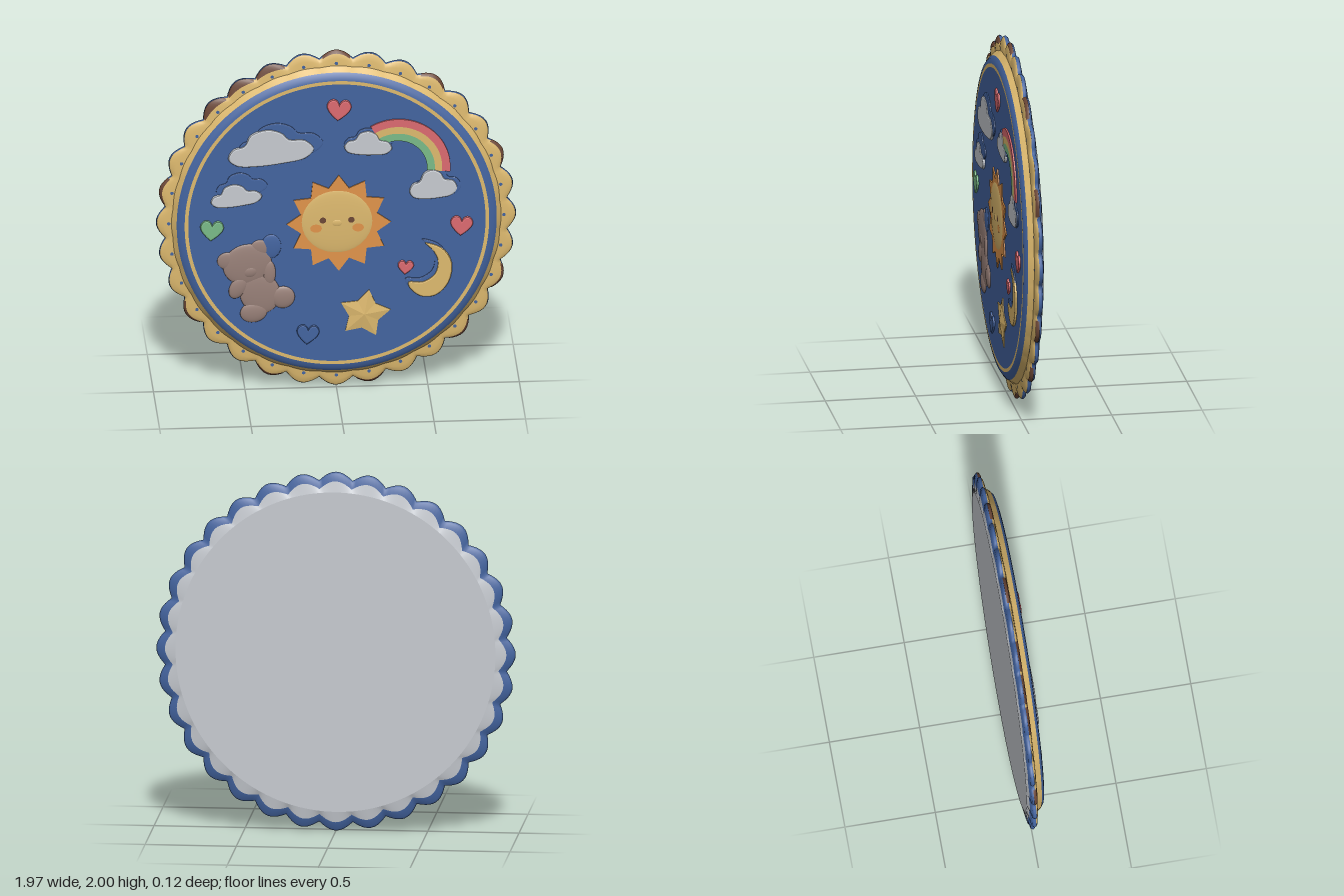
import * as THREE from 'three';

const mat = (name, color) => Object.assign(new THREE.MeshStandardMaterial({ color }), { name });
const blue = mat('blue', 0x4364a0), gold = mat('gold', 0xddb96e), orange = mat('orange', 0xe0944a),
  red = mat('coral red', 0xdc6a70), green = mat('green', 0x7abb88), pale = mat('pale grey', 0xc6cad0),
  brown = mat('dark brown', 0x6b4635), fur = mat('fur', 0x988078);

const SCALLOPS = 32, STEPS = 10, FACE = 0.045;
const TAU = Math.PI * 2;

export function createModel() {
  const root = new THREE.Group();
  root.name = 'roundRug';
  // everything is laid out around the disc centre
  const rug = new THREE.Group();
  rug.name = 'rug';
  rug.position.y = 1;
  root.add(rug);

  const add = (name, geometry, material, x = 0, y = 0, z = 0) => {
    const m = new THREE.Mesh(geometry, material);
    m.name = name;
    m.position.set(x, y, z);
    rug.add(m);
    return m;
  };

  // surface of revolution with scalloped radius; profile rows are [radius, scallop depth, z]
  function loft(name, material, profile, from = 0, count = SCALLOPS) {
    const pos = [], idx = [], n = count * STEPS, full = count === SCALLOPS;
    const cols = full ? n : n + 1;
    for (const [r, s, z] of profile)
      for (let j = 0; j < cols; j++) {
        const a = (from + j / STEPS) * TAU / SCALLOPS;
        const rad = r - s * (1 - Math.abs(Math.cos(a * SCALLOPS / 2)));
        pos.push(rad * Math.cos(a) * 0.985, rad * Math.sin(a), z);
      }
    for (let i = 0; i < profile.length - 1; i++)
      for (let j = 0; j < n; j++) {
        const k = full ? (j + 1) % n : j + 1;
        const a = i * cols + j, b = a + cols, c = (i + 1) * cols + k, d = i * cols + k;
        idx.push(a, b, c, a, c, d);
      }
    const g = new THREE.BufferGeometry();
    g.setAttribute('position', new THREE.Float32BufferAttribute(pos, 3));
    g.setIndex(idx);
    g.computeVertexNormals();
    return add(name, g, material);
  }

  // rug body, from the middle of the front round to the back
  loft('frontField', blue, [[0, 0, FACE], [0.4, 0, FACE], [0.825, 0, FACE]]);
  loft('goldRing', gold, [[0.825, 0, FACE], [0.845, 0, FACE]]);
  loft('fieldEdge', blue, [[0.845, 0, FACE], [0.87, 0, 0.04], [0.888, 0, 0.026]]);
  loft('goldSlope', gold, [[0.888, 0, 0.026], [0.915, 0.005, -0.004]]);
  loft('scallopFront', gold, [[0.915, 0.005, -0.004], [0.955, 0.025, -0.007], [0.985, 0.04, -0.013], [0.995, 0.045, -0.02]]);
  loft('scallopEdge', blue, [[0.995, 0.045, -0.02], [1, 0.045, -0.03], [0.99, 0.045, -0.042], [0.95, 0.04, -0.05]]);
  loft('backBorder', pale, [[0.95, 0.04, -0.05], [0.89, 0, -0.06]]);
  loft('backPlate', pale, [[0.89, 0, -0.06], [0, 0, -0.06]]);

  // brown worn trim on some scallops
  for (const i of [10, 11, 12])
    loft('wideBrownTrim', brown, [[0.958, 0.012, -0.005], [0.986, 0.04, -0.011], [0.998, 0.045, -0.02]], i - 0.45, 0.9);
  for (const i of [2, 5, 8, 15, 19, 22, 25, 28, 30])
    loft('brownTrim', brown, [[0.984, 0.04, -0.011], [0.998, 0.045, -0.019], [1.001, 0.045, -0.03]], i - 0.4, 0.8);

  // dots on the scallops
  for (let i = 0; i < SCALLOPS; i++) {
    const a = i * TAU / SCALLOPS;
    add('scallopDot', new THREE.CircleGeometry(0.01, 8), blue, 0.93 * Math.cos(a) * 0.985, 0.93 * Math.sin(a), -0.002);
  }

  // soft raised shape standing on the front field
  function puff(name, shape, material, x, y, height = 0.011, rot = 0) {
    const g = new THREE.ExtrudeGeometry(shape, {
      depth: 0.006, bevelThickness: height - 0.006, bevelSize: 0.01, bevelOffset: -0.01, bevelSegments: 2, curveSegments: 10
    });
    const m = add(name, g, material, x, y, FACE);
    m.rotation.z = rot;
    return m;
  }
  const spline = (pts, sx = 1, sy = 1, div = 48) => new THREE.Shape(new THREE.CatmullRomCurve3(
    pts.map(([x, y]) => new THREE.Vector3(x * sx, y * sy, 0)), true).getPoints(div).slice(0, -1)
    .map(p => new THREE.Vector2(p.x, p.y)));

  // clouds, each with a low blue lip behind
  const cloudPts = [[-1, -0.55], [-0.88, -0.05], [-0.62, 0.15], [-0.48, 0.7], [-0.1, 1], [0.25, 0.8], [0.42, 0.45],
    [0.78, 0.4], [1, -0.1], [0.8, -0.6], [0.3, -0.85], [-0.3, -1], [-0.8, -0.95]];
  for (const [x, y, w, h, rot, dx, dy] of [
    [-0.36, 0.46, 0.235, 0.11, 0, 0.05, 0.035], [-0.55, 0.18, 0.14, 0.07, 0, 0.03, 0.065],
    [0.175, 0.47, 0.13, 0.075, -0.2, 0, 0.015], [0.53, 0.215, 0.13, 0.09, -0.1, 0.02, 0.01]]) {
    puff('cloudLip', spline(cloudPts, w, h), blue, x + dx, y + dy, 0.008, rot);
    puff('cloud', spline(cloudPts, w, h), pale, x, y, 0.014, rot);
  }

  // rainbow bands
  [[0.29, 0.245, red], [0.245, 0.205, gold], [0.205, 0.162, green]].forEach(([ro, ri, m]) => {
    const s = new THREE.Shape();
    s.absarc(0, 0, ro, -0.1, 2.1, false);
    s.absarc(0, 0, ri, 2.1, -0.1, true);
    const g = new THREE.ExtrudeGeometry(s, { depth: 0.009, bevelEnabled: false, curveSegments: 28 });
    add('rainbowBand', g, m, 0.33, 0.32, FACE);
  });

  // star outline helper, also used for the sun rays
  const starShape = (n, ro, ri, start) => new THREE.Shape(Array.from({ length: n * 2 }, (_, i) => {
    const r = i % 2 ? ri : ro, a = start + i * Math.PI / n;
    return new THREE.Vector2(r * Math.cos(a), r * Math.sin(a));
  }));

  // sun with a sleepy face
  const ellipsoid = (name, m, x, y, rx, ry, rz, z = FACE, rot = 0) => {
    const e = add(name, new THREE.SphereGeometry(1, 28, 16), m, x, y, z);
    e.scale.set(rx, ry, rz);
    e.rotation.z = rot;
    return e;
  };
  add('sunRays', new THREE.ExtrudeGeometry(starShape(12, 0.285, 0.215, Math.PI / 2), { depth: 0.007, bevelEnabled: false }), orange, 0.01, 0, FACE);
  ellipsoid('sunFace', gold, 0, 0.01, 0.2, 0.19, 0.012, 0.049);
  ellipsoid('sunNose', gold, 0, 0.005, 0.03, 0.022, 0.006, 0.058);
  for (const s of [-1, 1]) {
    add('sunEye', new THREE.CircleGeometry(0.018, 14), brown, s * 0.078, 0.022, 0.061);
    add('sunCheek', new THREE.CircleGeometry(0.032, 16), orange, s * 0.115, -0.025, 0.0605).scale.y = 0.75;
  }

  // hearts
  const heart = w => {
    const s = new THREE.Shape(), h = w / 2;
    s.moveTo(0, -h);
    s.bezierCurveTo(-h * 0.5, -h * 0.6, -h * 1.2, 0, -h, h * 0.5);
    s.bezierCurveTo(-h * 0.8, h * 1.1, -h * 0.15, h * 1.05, 0, h * 0.45);
    s.bezierCurveTo(h * 0.15, h * 1.05, h * 0.8, h * 1.1, h, h * 0.5);
    s.bezierCurveTo(h * 1.2, 0, h * 0.5, -h * 0.6, 0, -h);
    return s;
  };
  for (const [x, y, w, m] of [[0.01, 0.675, 0.13, red], [0.68, -0.035, 0.12, red], [0.375, -0.275, 0.085, red],
    [-0.685, -0.025, 0.125, green], [-0.16, -0.66, 0.12, blue]])
    puff('heart', heart(w), m, x, y, 0.012, -0.1);

  // crescent moon
  const moon = spline([[0.48, 0.87], [0.57, 0.84], [0.627, 0.75], [0.61, 0.63], [0.54, 0.555], [0.46, 0.55], [0.395, 0.605],
    [0.39, 0.64], [0.47, 0.64], [0.535, 0.685], [0.55, 0.76], [0.525, 0.82]]);
  puff('moonLip', moon, blue, -0.015, -0.98, 0.008);
  puff('moon', moon, gold, 0, -1, 0.013);

  // faceted star rising to a point
  const rim = starShape(5, 0.145, 0.085, 80 * Math.PI / 180).getPoints();
  const starPos = [];
  for (let i = 0; i < 10; i++) {
    const p = rim[i], q = rim[(i + 1) % 10];
    starPos.push(0, 0, 0.017, p.x, p.y, 0.005, q.x, q.y, 0.005);
    starPos.push(p.x, p.y, 0.005, p.x, p.y, -0.002, q.x, q.y, -0.002, p.x, p.y, 0.005, q.x, q.y, -0.002, q.x, q.y, 0.005);
  }
  const starGeo = new THREE.BufferGeometry();
  starGeo.setAttribute('position', new THREE.Float32BufferAttribute(starPos, 3));
  starGeo.computeVertexNormals();
  add('star', starGeo, gold, 0.15, -0.545, FACE);

  // teddy bear: ears, head, muzzle, body, arms, legs
  for (const [name, x, y, rx, ry, rz, rot] of [
    ['bearEar', -0.6, -0.21, 0.055, 0.05, 0.009, 0], ['bearEar', -0.42, -0.14, 0.055, 0.05, 0.009, 0],
    ['bearHead', -0.49, -0.235, 0.135, 0.12, 0.014, 0.35], ['bearMuzzle', -0.475, -0.275, 0.05, 0.04, 0.017, 0.3],
    ['bearBody', -0.42, -0.41, 0.11, 0.12, 0.013, 0.3], ['bearArm', -0.54, -0.37, 0.045, 0.07, 0.014, -0.5],
    ['bearArm', -0.37, -0.29, 0.035, 0.075, 0.013, 0], ['bearLeg', -0.455, -0.52, 0.075, 0.06, 0.015, 0.2],
    ['bearLeg', -0.295, -0.435, 0.065, 0.065, 0.015, 0]])
    ellipsoid(name, fur, x, y, rx, ry, rz, FACE, rot);
  ellipsoid('bearLip', blue, -0.36, -0.13, 0.055, 0.07, 0.008);

  return root;
}
